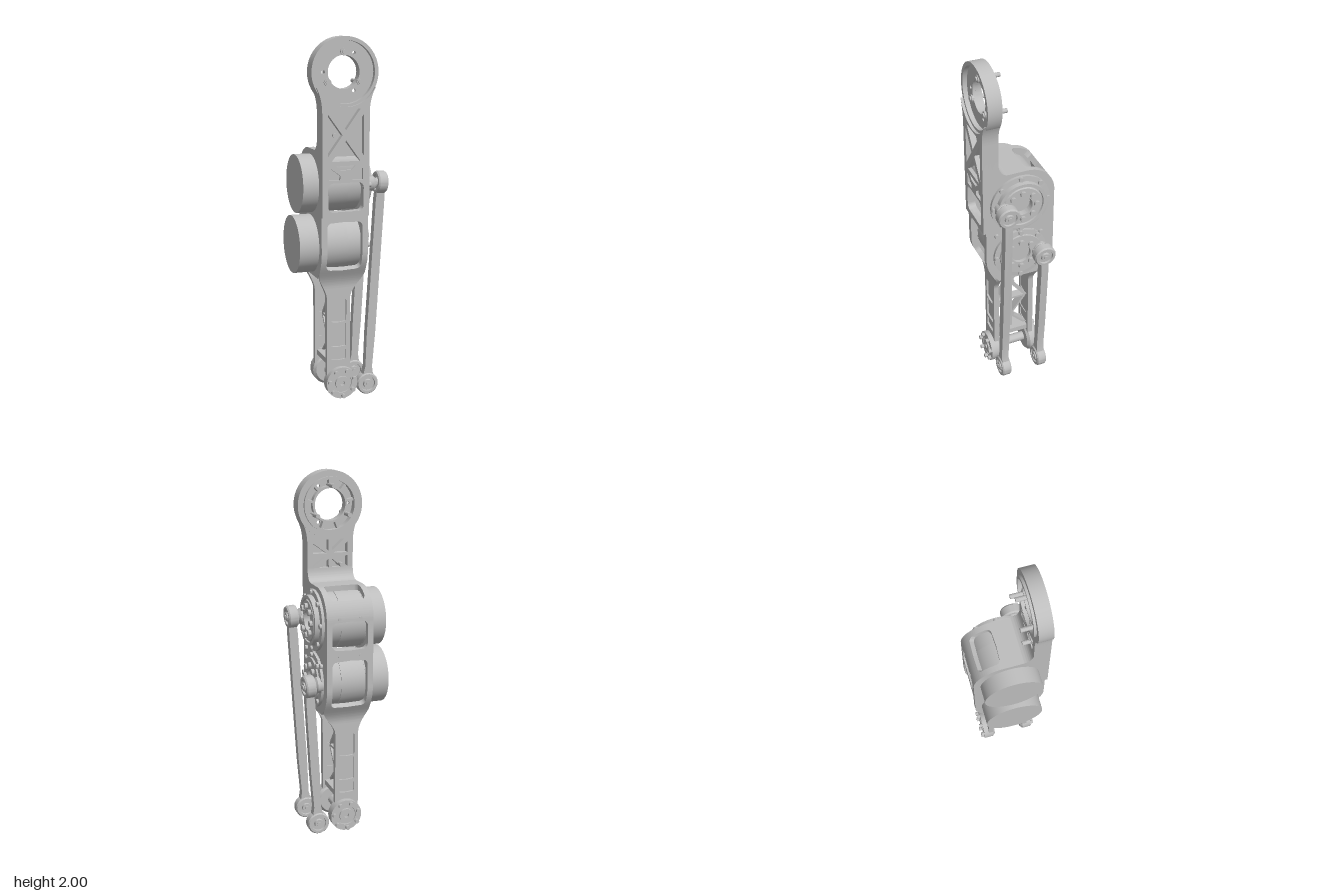
import * as THREE from 'three';
import { toCreasedNormals } from 'three/addons/utils/BufferGeometryUtils.js';

const CX = -0.015; // centre line of the housing
const metal = new THREE.MeshStandardMaterial({ color: 0xbebebe });
metal.name = 'grey metal';

function add(parent, name, geo) {
  const mesh = new THREE.Mesh(toCreasedNormals(geo, 0.5), metal);
  mesh.name = name;
  parent.add(mesh);
  return mesh;
}

// Turned part along 'x' or 'z'; the profile lists [radius, distance along the axis]
function turned(parent, name, profile, axis, x, y, z, sides = 48) {
  const geo = new THREE.LatheGeometry(profile.map(p => new THREE.Vector2(...p)), sides);
  if (axis === 'x') geo.rotateZ(-Math.PI / 2);
  else geo.rotateX(Math.PI / 2);
  geo.translate(x, y, z);
  return add(parent, name, geo);
}
const disc = (r, a, b) => [[0, a], [r, a], [r, b], [0, b]];
const ring = (r0, r1, a, b) => [[r1, a], [r1, b], [r0, b], [r0, a], [r1, a]];

function box(parent, name, w, h, d, x, y, z) {
  const mesh = add(parent, name, new THREE.BoxGeometry(w, h, d));
  mesh.position.set(x, y, z);
  return mesh;
}

// Plate facing z, between z0 and z1
function plate(parent, name, shape, z0, z1) {
  const geo = new THREE.ExtrudeGeometry(shape, { depth: z1 - z0, bevelEnabled: false, curveSegments: 24 });
  return add(parent, name, geo.translate(0, 0, z0));
}
// Plate facing x, drawn in (z, y), between x0 and x1
function sidePlate(parent, name, shape, x0, x1) {
  const geo = new THREE.ExtrudeGeometry(shape, { depth: x1 - x0, bevelEnabled: false, curveSegments: 16 });
  return add(parent, name, geo.rotateY(-Math.PI / 2).translate(x1, 0, 0));
}
const poly = pts => new THREE.Shape(pts.map(p => new THREE.Vector2(...p)));
const circle = (x, y, r) => new THREE.Shape().absarc(x, y, r, 0, Math.PI * 2);

function roundRect(x0, x1, y0, y1, r) {
  const s = new THREE.Shape();
  s.absarc(x1 - r, y1 - r, r, 0, Math.PI / 2);
  s.absarc(x0 + r, y1 - r, r, Math.PI / 2, Math.PI);
  s.absarc(x0 + r, y0 + r, r, Math.PI, Math.PI * 1.5);
  s.absarc(x1 - r, y0 + r, r, Math.PI * 1.5, Math.PI * 2);
  return s;
}

// Four triangular pockets leaving a diagonal cross of ribs
function crossPockets(x0, x1, y0, y1, g) {
  const mx = (x0 + x1) / 2, my = (y0 + y1) / 2, k = g * (y1 - y0) / (x1 - x0);
  return [
    [[x0 + g, y1], [x1 - g, y1], [mx, my + k]], [[x0 + g, y0], [x1 - g, y0], [mx, my - k]],
    [[x0, y0 + k], [x0, y1 - k], [mx - g, my]], [[x1, y0 + k], [x1, y1 - k], [mx + g, my]],
  ].map(poly);
}

// Eight triangular pockets leaving a star of ribs around (x, y)
function starPockets(x, y, w, h, g) {
  const list = [];
  for (const s of [-1, 1]) for (const t of [-1, 1]) {
    list.push(poly([[x + s * g, y + t * 2.4 * g], [x + s * g, y + t * h], [x + s * (w - 2 * g), y + t * h]]));
    list.push(poly([[x + s * 2.4 * g, y + t * g], [x + s * w, y + t * g], [x + s * w, y + t * (h - 2 * g)]]));
  }
  return list;
}

function boltCircle(parent, name, n, radius, r, a, b, axis, x, y, z, phase = 0) {
  for (let i = 0; i < n; i++) {
    const t = phase + i / n * Math.PI * 2, u = Math.cos(t) * radius, v = Math.sin(t) * radius;
    if (axis === 'x') turned(parent, name, disc(r, a, b), 'x', x, y + v, z + u, 12);
    else turned(parent, name, disc(r, a, b), 'z', x + u, y + v, z, 12);
  }
}

// Side outline (z, y) of the housing and shank: up the front, over the top, down the back
function outline(path, low) {
  const bend = Math.max(low, 0.64);
  path.moveTo(0.12, low);
  if (low < bend) path.lineTo(0.12, bend);
  path.bezierCurveTo(0.122, 0.72, 0.19, 0.76, 0.19, 0.86);
  path.lineTo(0.19, 1.31);
  path.quadraticCurveTo(0.19, 1.4, 0.1, 1.4);
  path.lineTo(-0.047, 1.4);
  path.absarc(-0.047, 1.24, 0.16, Math.PI / 2, Math.PI, false);
  path.lineTo(-0.207, 0.86);
  path.bezierCurveTo(-0.207, 0.76, -0.127, 0.72, -0.125, bend);
  if (low < bend) path.lineTo(-0.125, low);
  return path;
}

const OPENINGS = [[0.75, 1.02, 0.1, 0.03], [1.08, 1.235, 0.1, 0.03],
  [0.445, 0.575, 0.045, 0.01], [0.3, 0.435, 0.045, 0.01], [0.225, 0.285, 0.045, 0.01]];
function openingHalf(z, y) {
  const onTop = y > 1.28, c = onTop ? z : y;
  for (const [c0, c1, half, r] of onTop ? [[-0.17, -0.05, 0.1, 0.025]] : OPENINGS) {
    const d = Math.min(c - c0, c1 - c);
    if (d > 0) return d >= r ? half : half - r + Math.sqrt(r * r - (r - d) ** 2);
  }
  return 0;
}

// Bent wall swept along the outline as two rails that part around each opening
function bentWall(parent) {
  const path = outline(new THREE.Path(), 0.1), N = 720, th = 0.03;
  for (const side of [-1, 1]) {
    const rows = [], pos = [];
    for (let i = 0; i <= N; i++) {
      const p = path.getPoint(i / N);
      const n = path.getPoint(Math.min(1, i / N + 0.001)).sub(path.getPoint(Math.max(0, i / N - 0.001))).normalize();
      const k = THREE.MathUtils.smoothstep(p.y, 0.58, 0.73);
      const mid = -0.027 + 0.012 * k, h = 0.068 + 0.064 * k, w = openingHalf(p.x, p.y);
      const [a, b] = side < 0 ? [mid - h, mid - w] : [mid + w, mid + h];
      const iz = p.x - n.y * th, iy = p.y + n.x * th;
      rows.push([[a, p.y, p.x], [b, p.y, p.x], [b, iy, iz], [a, iy, iz]]);
    }
    for (let i = 0; i < N; i++) for (let k = 0; k < 4; k++) {
      const A = rows[i][k], B = rows[i][(k + 1) % 4], C = rows[i + 1][(k + 1) % 4], D = rows[i + 1][k];
      pos.push(...A, ...B, ...C, ...A, ...C, ...D);
    }
    const geo = new THREE.BufferGeometry();
    geo.setAttribute('position', new THREE.Float32BufferAttribute(pos, 3));
    add(parent, 'housingWall', geo);
  }
}

// Push rod: lower eye faces z, upper eye faces x
function pushRod(parent, z, topX, topY) {
  const g = new THREE.Group(), dx = topX - 0.145, dy = topY - 0.065, L = Math.hypot(dx, dy);
  g.name = 'pushRod';
  g.position.set(0.145, 0.065, z);
  g.rotation.z = -Math.atan2(dx, dy);
  const bar = poly([[-0.032, 0.04], [0.032, 0.04], [0.02, 0.1], [0.025, 0.3], [0.025, L - 0.1],
    [0.022, L - 0.045], [-0.022, L - 0.045], [-0.025, L - 0.1], [-0.025, 0.3], [-0.02, 0.1]]);
  plate(g, 'rodBar', bar, -0.021, 0.021);
  const eye = [[0.056, -0.028], [0.062, -0.02], [0.062, 0.02], [0.056, 0.028], [0.042, 0.028], [0.04, 0.018],
    [0.026, 0.018], [0.024, 0.03], [0.01, 0.03], [0.01, -0.03], [0.024, -0.03], [0.026, -0.018],
    [0.04, -0.018], [0.042, -0.028], [0.056, -0.028]];
  turned(g, 'lowerEye', eye, 'z', 0, 0, 0);
  turned(g, 'upperEye', eye, 'x', 0, L, 0);
  turned(g, 'lowerPin', disc(0.012, -0.036, 0.036), 'z', 0, 0, 0, 16);
  turned(g, 'upperPin', disc(0.013, -0.05, 0.036), 'x', 0, L, 0, 16);
  parent.add(g);
}

export function createModel() {
  const model = new THREE.Group();
  model.name = 'legLinkage';

  // Housing and shank walls, side plates
  bentWall(model);
  const cheek = outline(new THREE.Shape(), 0.7);
  sidePlate(model, 'rightCheek', cheek, -0.147, -0.125);
  sidePlate(model, 'leftCheek', cheek, 0.095, 0.117);

  // Shoulder ring, with ribs on its back
  const RY = 1.815;
  turned(model, 'ringRim', ring(0.165, 0.185, 0.113, 0.19), 'z', CX, RY, 0, 64);
  const floor = circle(CX, RY, 0.17);
  floor.holes.push(circle(CX, RY, 0.088));
  for (const t of [Math.PI / 3, Math.PI, -Math.PI / 3])
    floor.holes.push(circle(CX + Math.cos(t) * 0.113, RY + Math.sin(t) * 0.113, 0.01));
  plate(model, 'ringFloor', floor, 0.148, 0.165);
  turned(model, 'ringBackLip', ring(0.138, 0.17, 0.113, 0.15), 'z', CX, RY, 0, 64);
  turned(model, 'ringBackCollar', ring(0.136, 0.152, 0.1, 0.115), 'z', CX, RY, 0, 64);
  turned(model, 'ringInnerCollar', ring(0.088, 0.1, 0.115, 0.15), 'z', CX, RY, 0, 64);
  for (let i = 0; i < 9; i++) {
    const t = Math.PI / 2 + i / 9 * Math.PI * 2;
    box(model, 'ringRib', 0.05, 0.014, 0.035, CX + Math.cos(t) * 0.118, RY + Math.sin(t) * 0.118, 0.132).rotation.z = t;
  }
  boltCircle(model, 'ringPin', 3, 0.105, 0.012, 0.05, 0.182, 'z', CX, RY, 0, Math.PI / 2);
  boltCircle(model, 'ringPinHead', 3, 0.105, 0.02, 0.16, 0.174, 'z', CX, RY, 0, Math.PI / 2);
  turned(model, 'neckPin', disc(0.012, 0.075, 0.185), 'z', -0.07, 1.487, 0, 12);

  // Neck: ribbed front and back around a thin web
  const neckShape = () => {
    const s = new THREE.Shape(), a = Math.atan2(-0.08, 0.165);
    s.moveTo(CX - 0.132, 1.34);
    s.lineTo(CX + 0.132, 1.34);
    s.lineTo(CX + 0.132, 1.6);
    s.quadraticCurveTo(CX + 0.132, 1.68, CX + 0.165, RY - 0.08);
    s.absarc(CX, RY, 0.18, a, -Math.PI - a, true);
    s.quadraticCurveTo(CX - 0.132, 1.68, CX - 0.132, 1.6);
    return s;
  };
  const front = neckShape(), back = neckShape();
  front.holes.push(...crossPockets(-0.115, 0.085, 1.35, 1.625, 0.02));
  back.holes.push(...starPockets(CX, 1.54, 0.1, 0.085, 0.009));
  plate(model, 'neckFront', front, 0.172, 0.205);
  plate(model, 'neckWeb', neckShape(), 0.155, 0.172);
  plate(model, 'neckBack', back, 0.115, 0.155);
  const fillet = poly([[0.14, 1.38], [0.14, 1.47], [0.115, 1.47]]);
  fillet.quadraticCurveTo(0.112, 1.4, 0.05, 1.398);
  sidePlate(model, 'neckFillet', fillet, CX - 0.132, CX + 0.132);

  // Front cover continuing the neck over the upper opening
  const cover = poly([[CX - 0.132, 1.05], [CX + 0.132, 1.05], [CX + 0.132, 1.34], [CX - 0.132, 1.34]]);
  cover.holes.push(roundRect(-0.115, 0.085, 1.08, 1.235, 0.03),
    poly([[-0.07, 1.326], [0.04, 1.326], [0.015, 1.303], [-0.045, 1.303]]),
    poly([[-0.11, 1.25], [-0.05, 1.25], [-0.045, 1.272], [-0.098, 1.312], [-0.11, 1.31]]),
    poly([[0.08, 1.25], [0.08, 1.31], [0.068, 1.312], [0.015, 1.272], [0.02, 1.25]]));
  plate(model, 'frontCover', cover, 0.18, 0.205);

  // Motors, gear hubs and cranks
  for (const [y, end, r, top, pinZ, pinX] of [[1.21, -0.235, 0.17, 0.16, 0.105, 0.195], [0.875, -0.255, 0.155, 0.143, -0.12, 0.17]]) {
    turned(model, 'motor', disc(0.16, end, -0.12), 'x', 0, y, -0.01, 64);
    turned(model, 'motorBody', [[0, -0.13], [0.159, -0.13], [0.159, 0.02], [0.155, 0.02], [0.155, 0.1], [0, 0.1]], 'x', 0, y, -0.01, 64);
    turned(model, 'gearHub', [[r, 0.11], [r, 0.132], [r - 0.03, 0.134], [r - 0.032, top], [r - 0.05, top], [r - 0.052, top - 0.01],
      [0.115, top - 0.01], [0.11, top], [0.056, top], [0.055, 0.125], [0, 0.125]], 'x', 0, y, -0.005, 64);
    boltCircle(model, 'flangeBolt', 8, r - 0.014, 0.014, 0.12, 0.145, 'x', 0, y, -0.005);
    boltCircle(model, 'hubBolt', 8, 0.08, 0.017, 0.12, top + 0.016, 'x', 0, y, -0.005);
    turned(model, 'crankBoss', [[0, 0.12], [0.045, 0.12], [0.045, top + 0.008], [0.022, pinX], [0, pinX]], 'x', 0, y, pinZ, 32);
  }
  for (const [y, z] of [[1.03, 0], [0.98, -0.13], [1.0, -0.08], [1.02, 0.13]])
    turned(model, 'cheekBolt', disc(0.014, 0.11, 0.132), 'x', 0, y, z, 12);
  for (const x of [-0.075, 0.045]) // small screws across the back
    for (const y of [1.045, 1.25]) turned(model, 'backScrew', disc(0.009, -0.209, -0.19), 'z', x, y, 0, 12);

  // Shank: pocket floors, bridge and side truss
  for (const z of [0.102, -0.107]) box(model, 'pocketFloor', 0.125, 0.4, 0.014, -0.027, 0.4, z);
  box(model, 'shankBridge', 0.11, 0.03, 0.2, -0.027, 0.205, 0);
  box(model, 'shankTop', 0.16, 0.02, 0.24, -0.02, 0.69, 0);
  const strut = (z0, y0, z1, y1, w) => {
    const m = box(model, 'trussStrut', 0.05, Math.hypot(z1 - z0, y1 - y0), w, -0.027, (y0 + y1) / 2, (z0 + z1) / 2);
    m.rotation.x = Math.atan2(z1 - z0, y1 - y0);
  };
  strut(-0.004, 0.2, -0.004, 0.69, 0.016);
  strut(-0.1, 0.435, 0.1, 0.435, 0.012);
  for (const y of [0.56, 0.31]) turned(model, 'trussNode', disc(0.022, -0.025, 0.025), 'x', -0.027, y, -0.004, 16);
  for (const s of [-1, 1]) {
    const nodes = [[0.095, 0.69], [0, 0.56], [0.095, 0.435], [0, 0.31], [0.095, 0.215]];
    for (let i = 0; i < 4; i++) strut(s * nodes[i][0], nodes[i][1], s * nodes[i + 1][0], nodes[i + 1][1], 0.012);
  }

  // Ankle: two bolted discs joined by a shaft
  const AY = 0.095;
  turned(model, 'ankleShaft', disc(0.027, -0.12, 0.12), 'z', CX, AY, 0, 32);
  for (const s of [-1, 1]) {
    const g = new THREE.Group();
    g.name = 'ankleDisc';
    turned(g, 'discBody', [[0, 0.08], [0.075, 0.08], [0.09, 0.095], [0.09, 0.148], [0.056, 0.148], [0.055, 0.142],
      [0.04, 0.142], [0.039, 0.152], [0.014, 0.152], [0.013, 0.14], [0, 0.14]], 'z', 0, 0, 0);
    boltCircle(g, 'discBolt', 7, 0.073, 0.012, 0.14, 0.166, 'z', 0, 0, 0, 0.3);
    g.position.set(CX, AY, s < 0 ? -0.006 : 0);
    if (s < 0) g.rotation.y = Math.PI;
    model.add(g);
  }

  // Push rods from the cranks to the ankle
  pushRod(model, 0.105, 0.217, 1.212);
  pushRod(model, -0.12, 0.192, 0.872);
  return model;
}
